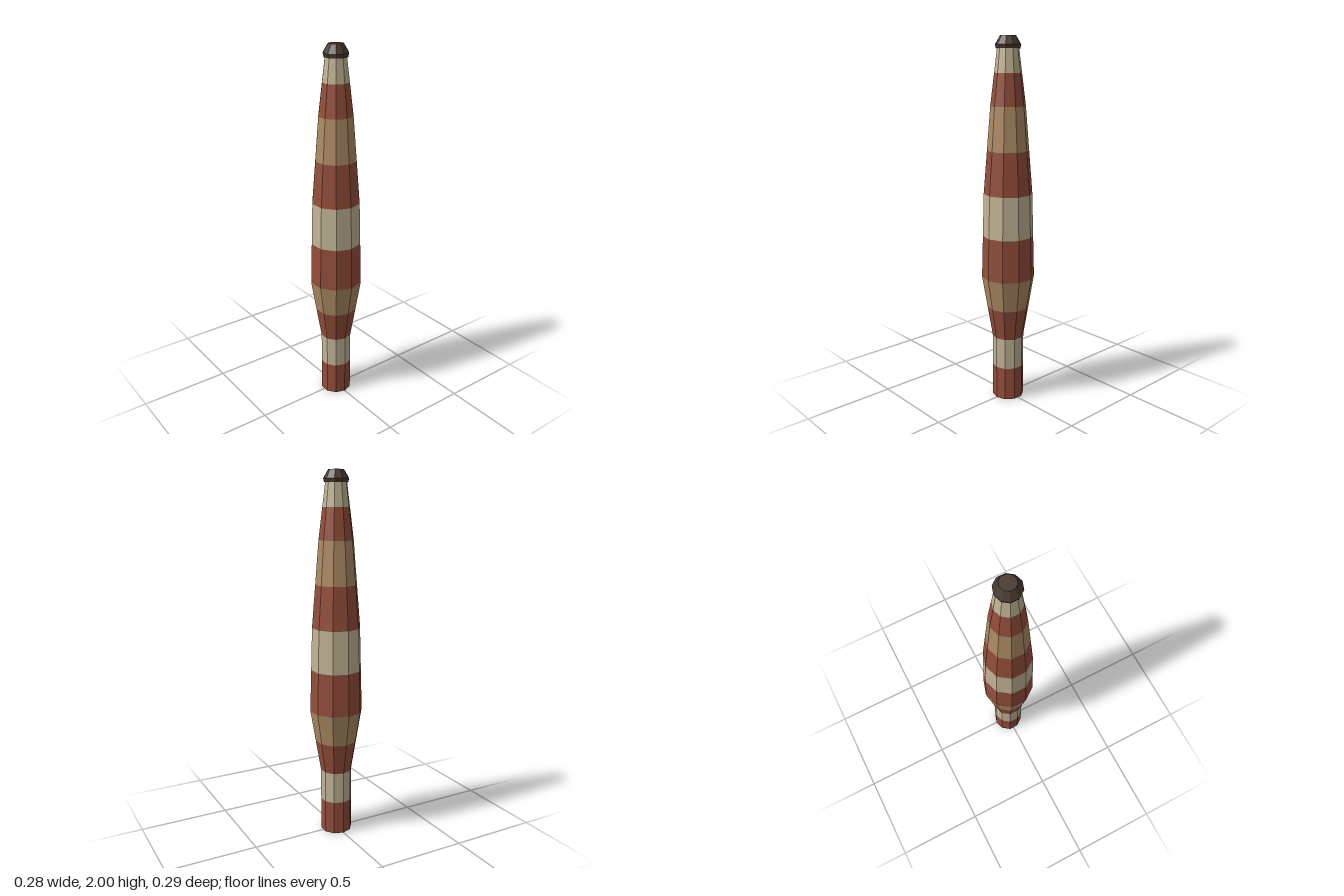
import * as THREE from 'three';

const SIDES = 10;

export function createModel() {
  const model = new THREE.Group();
  model.name = 'stripedPole';

  const material = (name, color, options = {}) =>
    new THREE.MeshStandardMaterial({ name, color, flatShading: true, ...options });
  // The shaft is a hollow shell, open at the bottom
  const shell = { side: THREE.DoubleSide };
  const red = material('brick red', 0x944e3a, shell);
  const cream = material('cream', 0xc2b595, shell);
  const tan = material('tan', 0xad8b64, shell);
  const dark = material('dark brown', 0x46382f);

  // One tapered ring from y0 (radius r0) up to y1 (radius r1)
  function addRing(name, mat, [y0, r0], [y1, r1], open = true) {
    const geometry = new THREE.CylinderGeometry(r1, r0, y1 - y0, SIDES, 1, open);
    const mesh = new THREE.Mesh(geometry, mat);
    mesh.name = name;
    mesh.position.y = (y0 + y1) / 2;
    model.add(mesh);
  }

  // Shaft outline as [height, radius], one colour band between neighbours
  const outline = [
    [0, 0.087], [0.187, 0.087], [0.362, 0.087], [0.537, 0.116], [0.712, 0.145],
    [0.945, 0.1385], [1.178, 0.132], [1.41, 0.113], [1.643, 0.094],
    [1.812, 0.073], [1.94, 0.057],
  ];
  const bands = [red, cream, red, tan, red, cream, red, tan, red, cream];
  bands.forEach((mat, i) => addRing(`band${i + 1}`, mat, outline[i], outline[i + 1]));

  // End cap: short collar with a bevelled top
  addRing('capCollar', dark, [1.935, 0.063], [1.955, 0.068], false);
  addRing('capTop', dark, [1.955, 0.068], [2, 0.041], false);

  return model;
}
